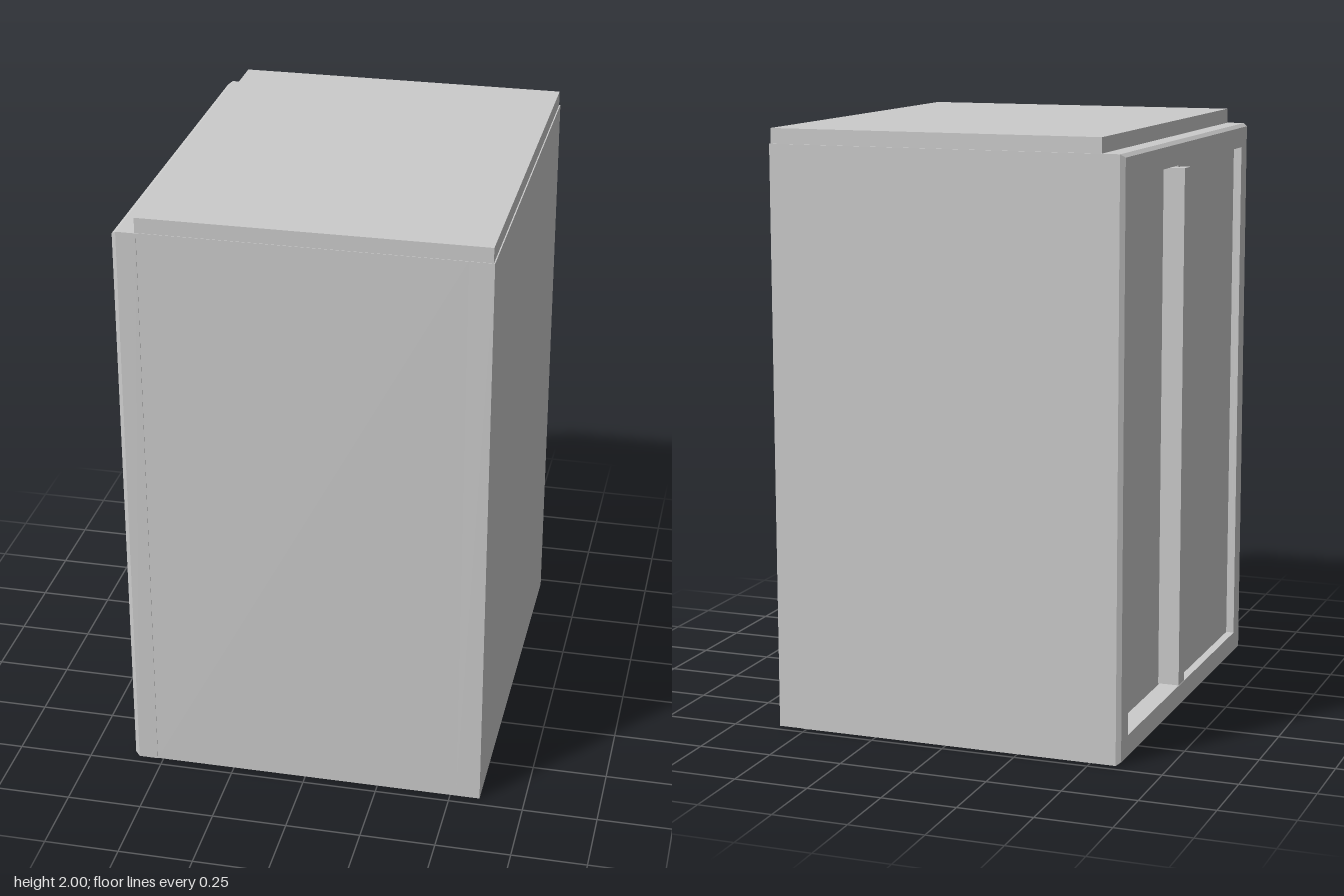
import * as THREE from 'three';

const grey = new THREE.MeshStandardMaterial({ color: 0xcccccc, flatShading: true });

// Box given by its minimum and maximum on each axis
function block(name, [x0, x1], [y0, y1], [z0, z1]) {
  const geometry = new THREE.BoxGeometry(x1 - x0, y1 - y0, z1 - z0);
  geometry.translate((x0 + x1) / 2, (y0 + y1) / 2, (z0 + z1) / 2);
  const mesh = new THREE.Mesh(geometry, grey);
  mesh.name = name;
  return mesh;
}

function rectangle(PathType, x0, x1, y0, y1) {
  const path = new PathType();
  path.moveTo(x0, y0);
  path.lineTo(x1, y0);
  path.lineTo(x1, y1);
  path.lineTo(x0, y1);
  path.closePath();
  return path;
}

// Rectangular surround with its outer front edges chamfered
function doorFrame(halfWidth, height, border, depth, chamfer) {
  const shape = rectangle(THREE.Shape, -halfWidth, halfWidth, 0, height);
  shape.holes.push(rectangle(THREE.Path, -halfWidth + border, halfWidth - border, border, height - border));
  const geometry = new THREE.ExtrudeGeometry(shape, { depth, steps: 2, bevelEnabled: false });
  const p = geometry.attributes.position;
  for (let i = 0; i < p.count; i++) {
    const z = p.getZ(i);
    const atFront = z > depth * 0.9;
    if (!atFront && z > depth * 0.1) p.setZ(i, depth - chamfer);
    if (!atFront) continue;
    const x = p.getX(i), y = p.getY(i);
    if (Math.abs(x) > halfWidth - 0.001) p.setX(i, x - Math.sign(x) * chamfer * 0.7);
    if (y < 0.001) p.setY(i, chamfer * 0.7);
    if (y > height - 0.001) p.setY(i, height - chamfer * 0.7);
  }
  geometry.computeVertexNormals();
  geometry.rotateY(-Math.PI / 2);
  const mesh = new THREE.Mesh(geometry, grey);
  mesh.name = 'doorFrame';
  return mesh;
}

export function createModel() {
  const group = new THREE.Group();
  group.name = 'cabinet';

  // Carcass, closed side and top slab
  group.add(block('carcass', [-0.52, 0.52], [0, 1.95], [-0.718, 0.716]));
  group.add(block('sidePanel', [0.52, 0.6], [0, 1.95], [-0.716, 0.716]));
  group.add(block('topPanel', [-0.525, 0.596], [1.95, 2], [-0.712, 0.714]));

  // Surround of the door opening on the -x side
  const frame = doorFrame(0.718, 1.95, 0.08, 0.08, 0.015);
  frame.position.x = -0.52;
  group.add(frame);

  // Two sliding doors at different depths, with the upright between them
  group.add(block('innerDoor', [-0.53, -0.515], [0.08, 1.87], [-0.64, -0.05]));
  group.add(block('outerDoor', [-0.572, -0.55], [0.08, 1.87], [-0.05, 0.64]));
  group.add(block('doorUpright', [-0.603, -0.525], [0.085, 1.855], [-0.08, -0.015]));

  return group;
}
